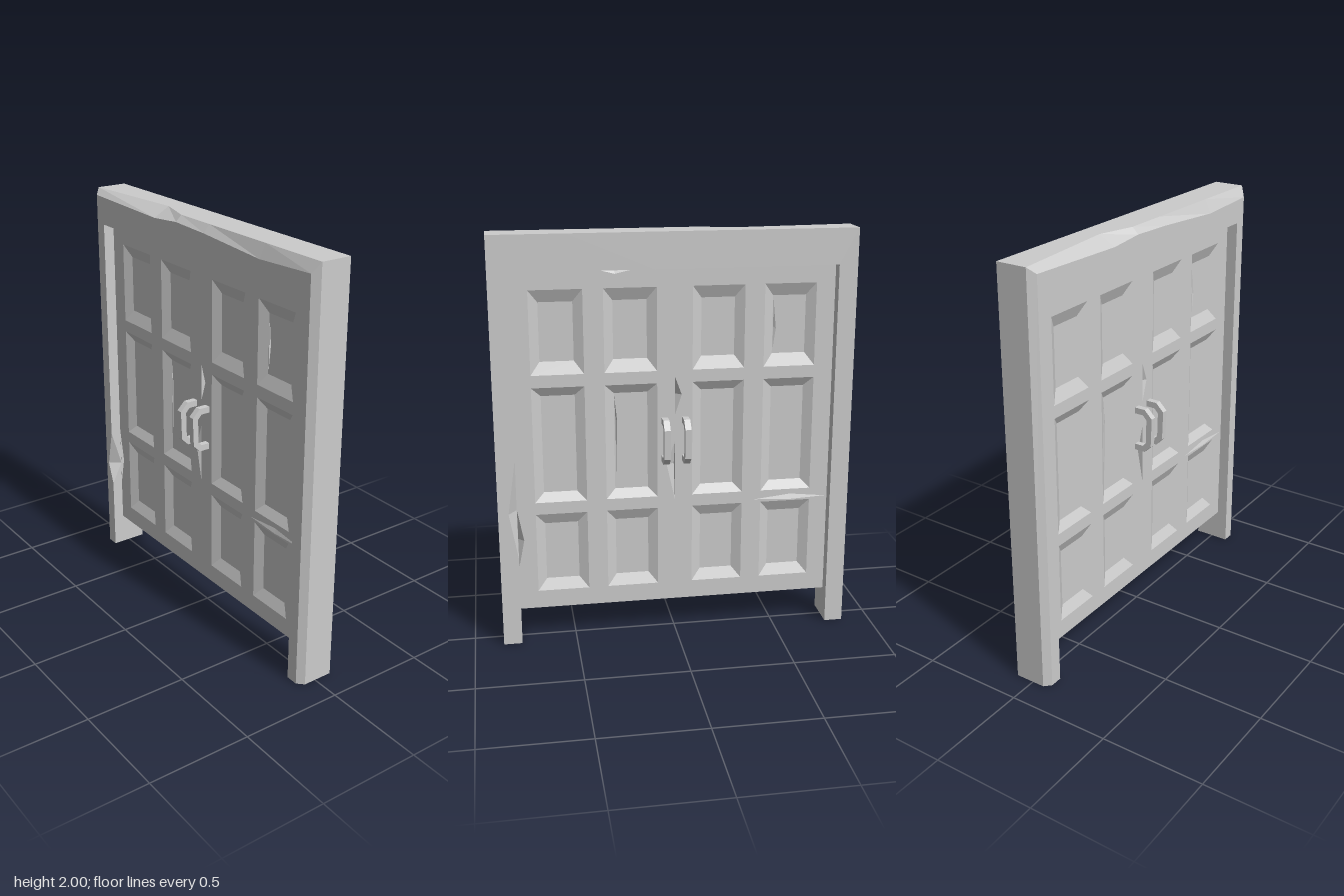
import * as THREE from 'three';

const mat = new THREE.MeshStandardMaterial({ color: 0xcccccc, flatShading: true });

const named = (geo, name) => {
  const m = new THREE.Mesh(geo, mat);
  m.name = name;
  return m;
};

// Collects flat quads, dropping collapsed triangles
class Faces {
  pos = [];
  tri(a, b, c) {
    const [A, B, C] = [a, b, c].map((p) => new THREE.Vector3(...p));
    if (B.clone().sub(A).cross(C.clone().sub(A)).length() > 1e-8) this.pos.push(...a, ...b, ...c);
  }
  quad(a, b, c, d) {
    this.tri(a, b, c);
    this.tri(a, c, d);
  }
  geometry() {
    const g = new THREE.BufferGeometry();
    g.setAttribute('position', new THREE.Float32BufferAttribute(this.pos, 3));
    g.computeVertexNormals();
    return g;
  }
}

// Frame: one section swept up the right post, over the beam, down the left post
function frameGeometry() {
  const H = 0.09;
  const post = (s, y, chipFront = 0, chipBack = 0) =>
    ({ o: [s * 0.86, y], f: [s * 0.83, y], i: [s * 0.77, y], bz: 0.06, s, chipFront, chipBack });
  const beam = (x, fy, bz = 0.06) =>
    ({ o: [x, 2], f: [x, fy], i: [x, 1.83], bz, s: 0, chipFront: 0, chipBack: 0 });
  const corner = (s, fy) => ({ ...post(s, 2), f: [s * 0.83, fy], i: [s * 0.77, 1.83] });
  const stations = [
    post(-1, 0), post(-1, 0.38), post(-1, 0.49, 0.04), post(-1, 0.68),
    corner(-1, 1.97),
    beam(-0.3, 1.955, 0.01), beam(-0.12, 1.97), beam(0.1, 1.962), beam(0.5, 1.935),
    corner(1, 1.95),
    post(1, 0.95), post(1, 0.68, 0, 0.04), post(1, 0.45), post(1, 0),
  ];
  const rings = stations.map(({ o, f, i, bz, s, chipFront: cf, chipBack: cb }) => [
    [...o, -H], [...o, bz], [...f, H],
    [i[0] + s * cf, i[1], H], [...i, H - cf * 1.4],
    [...i, -H + cb * 1.4], [i[0] + s * cb, i[1], -H],
  ]);
  const faces = new Faces();
  for (let r = 0; r < rings.length - 1; r++) {
    const a = rings[r], b = rings[r + 1], n = a.length;
    for (let k = 0; k < n; k++) faces.quad(a[k], a[(k + 1) % n], b[(k + 1) % n], b[k]);
  }
  const first = rings[0], last = rings.at(-1);
  for (let k = 1; k < first.length - 1; k++) {
    faces.tri(first[0], first[k + 1], first[k]);
    faces.tri(last[0], last[k], last[k + 1]);
  }
  return faces.geometry();
}

const FACE_Z = 0.035, FLOOR_Z = 0.01;
const toPath = (pts, Type = THREE.Path) => new Type(pts.map(([x, y]) => new THREE.Vector2(x, y)));
const rect = (x0, y0, x1, y1) => [[x0, y0], [x1, y0], [x1, y1], [x0, y1]];

// One face of the double door: sunken panels, chips and cracks
function doorFace() {
  const group = new THREE.Group();
  group.name = 'doorFace';
  const face = toPath(rect(-0.77, 0.16, 0.77, 1.83), THREE.Shape);
  const bevels = new Faces(), chips = new Faces();

  // Sloping walls from an outline (counter-clockwise) down to a matching inner loop
  const sink = (faces, outer, z0, inner, z1) => outer.forEach((p, k) => {
    const j = (k + 1) % outer.length;
    faces.quad([...p, z0], [...outer[j], z0], [...inner[j], z1], [...inner[k], z1]);
  });
  const chip = (shape, outline, z0, apex, z1) => {
    shape.holes.push(toPath(outline));
    sink(chips, outline, z0, outline.map(() => apex), z1);
  };

  // Cracks in panel floors, keyed by column and row
  const cracks = {
    '1,1': [[[-0.289, 1.23], [-0.284, 0.82], [-0.276, 1.1]], [-0.283, 1.1]],
    '3,0': [[[0.478, 1.66], [0.478, 1.42], [0.492, 1.52]], [0.479, 1.53]],
  };
  const rows = [[1.34, 1.74, 0.06], [0.71, 1.28, 0.045], [0.25, 0.65, 0.055]];
  [-0.68, -0.335, 0.085, 0.43].forEach((x, c) => rows.forEach(([y0, y1, d], r) => {
    const outer = rect(x, y0, x + 0.25, y1);
    const inner = rect(x + 0.045, y0 + d, x + 0.205, y1 - d);
    face.holes.push(toPath(outer));
    sink(bevels, outer, FACE_Z, inner, FLOOR_Z);
    const floor = toPath(inner, THREE.Shape);
    const crack = cracks[`${c},${r}`];
    if (crack) chip(floor, crack[0], FLOOR_Z, crack[1], 0.001);
    const mesh = named(new THREE.ShapeGeometry(floor), 'panelFloor');
    mesh.position.z = FLOOR_Z;
    group.add(mesh);
  }));

  // Chips along the centre seam, the rims and one rail
  chip(face, [[0, 1.31], [0, 1.12], [0.033, 1.22]], FACE_Z, [0.001, 1.22], 0.005);
  chip(face, [[0, 0.99], [-0.04, 0.87], [0, 0.69]], FACE_Z, [-0.001, 0.87], 0.005);
  chip(face, [[-0.769, 0.68], [-0.769, 0.38], [-0.74, 0.52]], FACE_Z, [-0.768, 0.52], 0.005);
  chip(face, [[-0.37, 1.829], [-0.28, 1.805], [-0.17, 1.829]], FACE_Z, [-0.28, 1.828], 0.01);
  chip(face, [[0.4, 0.665], [0.58, 0.656], [0.76, 0.665], [0.58, 0.685]], FACE_Z, [0.58, 0.682], 0.025);

  const front = named(new THREE.ShapeGeometry(face), 'doorSurface');
  front.position.z = FACE_Z;
  group.add(front, named(bevels.geometry(), 'panelBevels'), named(chips.geometry(), 'chips'));

  // Pull handles, angular C shape extruded sideways
  const profile = toPath([
    [0.03, 1.11], [0.09, 1.11], [0.13, 1.07], [0.125, 0.925], [0.09, 0.89], [0.03, 0.89],
    [0.03, 0.92], [0.08, 0.92], [0.097, 0.938], [0.1, 1.058], [0.08, 1.08], [0.03, 1.08],
  ], THREE.Shape);
  for (const x of [-0.05, 0.05]) {
    const geo = new THREE.ExtrudeGeometry(profile, { depth: 0.03, bevelEnabled: false });
    geo.translate(0, 0, -0.015).rotateY(-Math.PI / 2);
    const handle = named(geo, 'handle');
    handle.position.x = x;
    group.add(handle);
  }
  return group;
}

export function createModel() {
  const model = new THREE.Group();
  model.name = 'doubleDoor';
  const front = doorFace();
  const back = doorFace();
  back.rotation.y = Math.PI;
  back.name = 'doorFaceBack';

  // Underside of the door
  const underside = named(new THREE.PlaneGeometry(1.54, FACE_Z * 2).rotateX(Math.PI / 2), 'doorUnderside');
  underside.position.y = 0.16;

  model.add(named(frameGeometry(), 'frame'), front, back, underside);
  return model;
}
